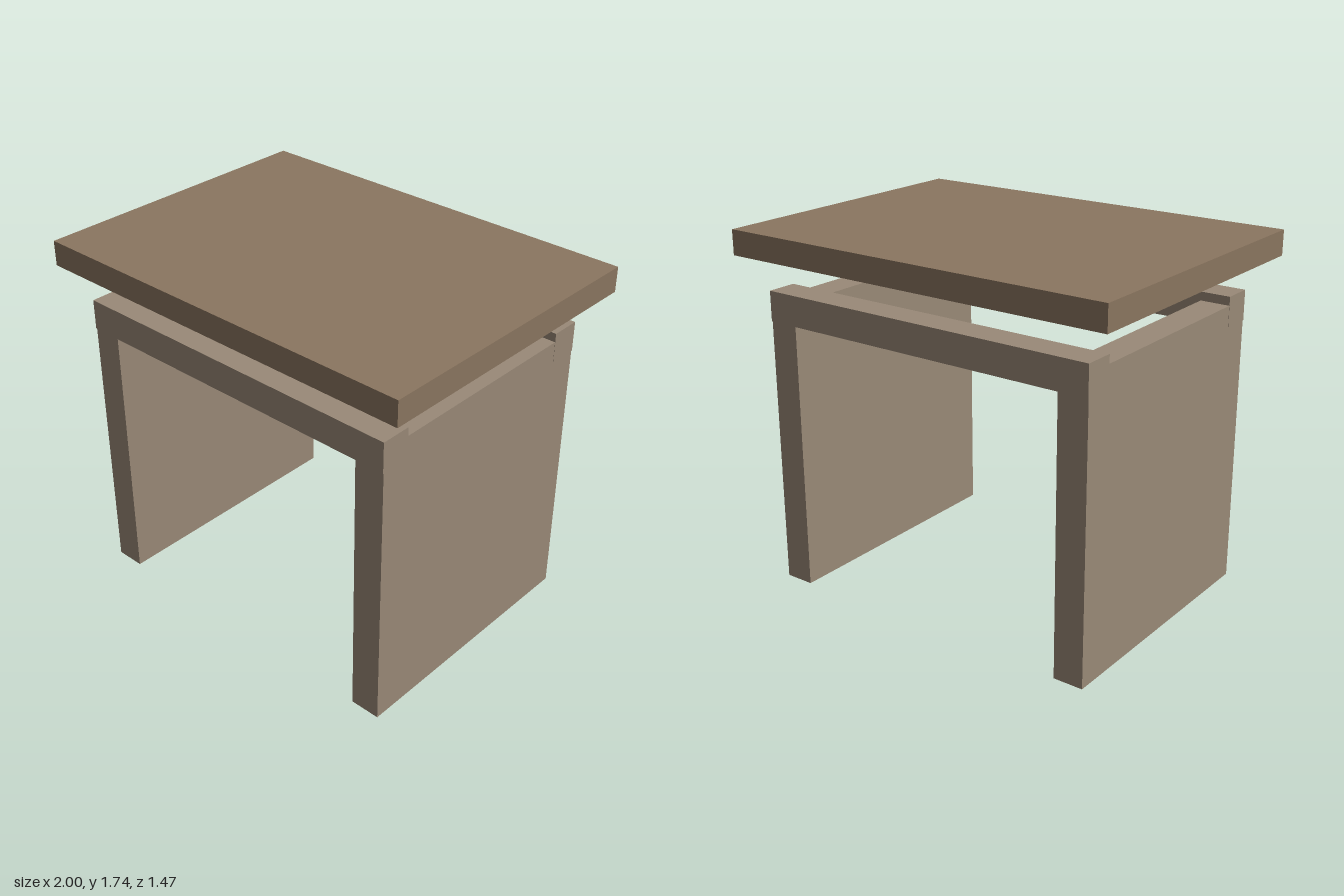
import * as THREE from 'three';

export function createModel() {
  const model = new THREE.Group();
  const topWood = new THREE.MeshStandardMaterial({ color: 0x8b7660 });
  const frameWood = new THREE.MeshStandardMaterial({ color: 0x9a8a78 });

  // Adds a box given its size, the height of its underside, and its centre in x and z
  function board(name, material, [w, h, d], x, bottom, z) {
    const mesh = new THREE.Mesh(new THREE.BoxGeometry(w, h, d), material);
    mesh.name = name;
    mesh.position.set(x, bottom + h / 2, z);
    model.add(mesh);
  }

  // Raised top, floating clear of the frame
  board('tableTop', topWood, [2, 0.12, 1.47], 0, 1.62, 0);

  // Mirrored side panels and the cross rails that join them
  for (const s of [1, -1]) {
    board(s > 0 ? 'leftSidePanel' : 'rightSidePanel', frameWood, [0.146, 1.415, 1.296], s * 0.795, 0, 0);
    board(s > 0 ? 'frontRail' : 'backRail', frameWood, [1.738, 0.146, 0.148], 0, 1.311, s * 0.578);
  }
  return model;
}
